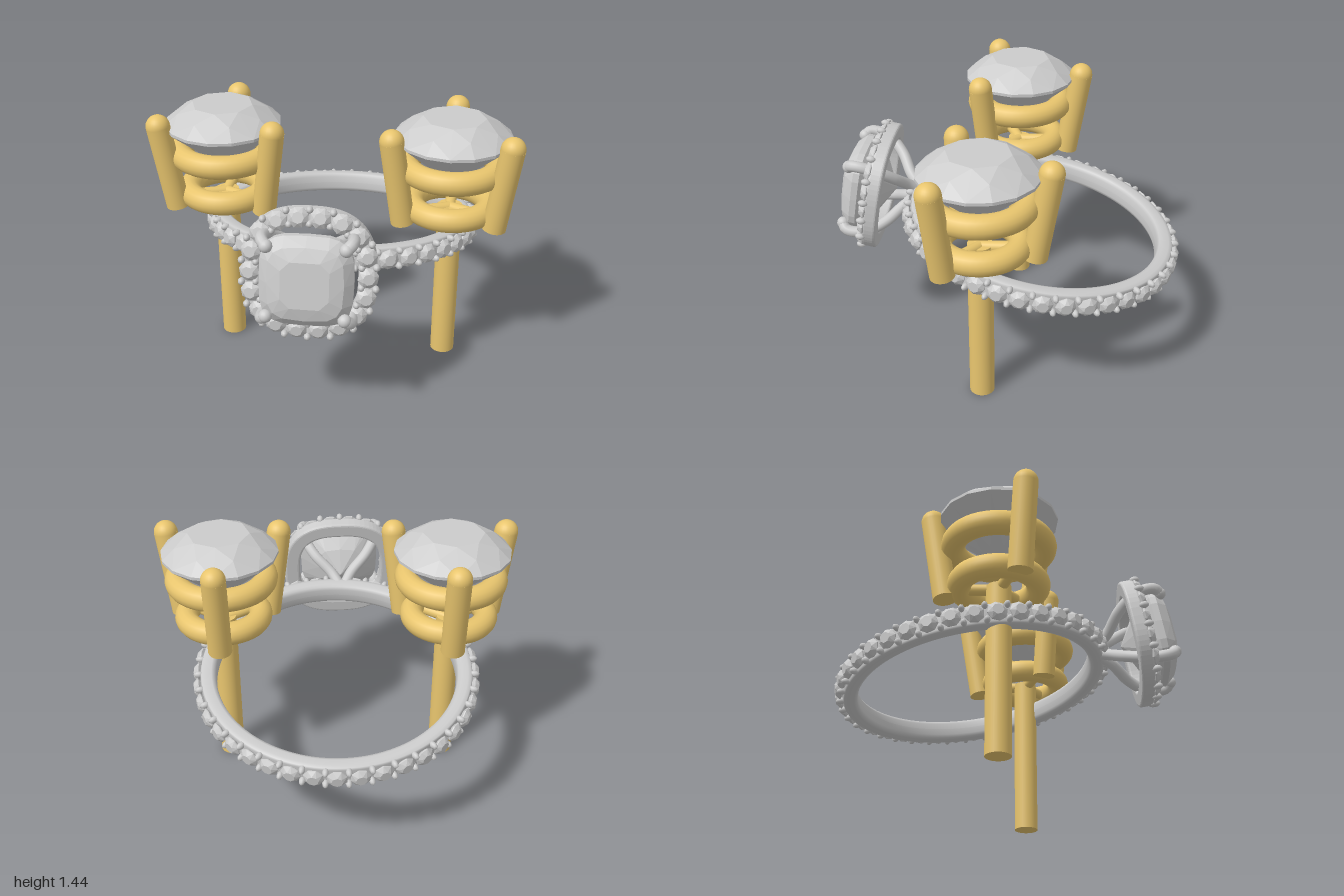
import * as THREE from 'three';
import { ConvexGeometry } from 'three/addons/geometries/ConvexGeometry.js';

const V = (x, y, z) => new THREE.Vector3(x, y, z);
const UP = V(0, 1, 0);
const silver = new THREE.MeshStandardMaterial({ color: 0xcccccc });
const facet = new THREE.MeshStandardMaterial({ color: 0xcccccc, flatShading: true });
const gold = new THREE.MeshStandardMaterial({ color: 0xe8c56e });

function add(parent, name, geometry, material, pos) {
  const m = new THREE.Mesh(geometry, material);
  m.name = name;
  if (pos) m.position.copy(pos);
  parent.add(m);
  return m;
}

// point on a rounded square: exponent 2 is a circle, larger is squarer
function cushion(a, half, exponent) {
  const f = (t) => Math.sign(t) * Math.pow(Math.abs(t), 2 / exponent) * half;
  return [f(Math.cos(a)), f(Math.sin(a))];
}

// faceted stone along +y; each ring is [radius, height, sides, turn in half steps]
function stone(rings, tip, exponent = 2) {
  const pts = [V(0, tip, 0)];
  for (const [r, y, n, turn] of rings) {
    for (let i = 0; i < n; i++) {
      const [x, z] = cushion(((i + turn / 2) / n) * Math.PI * 2, r, exponent);
      pts.push(V(x, y, z));
    }
  }
  return new ConvexGeometry(pts);
}

// cylinder between two points
function rod(parent, name, a, b, r, material) {
  const d = b.clone().sub(a);
  const m = add(parent, name, new THREE.CylinderGeometry(r, r, d.length(), 24), material,
    a.clone().add(b).multiplyScalar(0.5));
  m.quaternion.setFromUnitVectors(UP, d.normalize());
  return m;
}

const smallStone = stone([[0.03, 0.025, 8, 0], [0.054, 0.003, 8, 1], [0.054, -0.003, 8, 1]], -0.045);
const beadGeometry = new THREE.SphereGeometry(0.017, 8, 6);

function setStone(parent, pos, dir) {
  add(parent, 'accentStone', smallStone, facet, pos).quaternion.setFromUnitVectors(UP, dir.normalize());
}

// stud earring standing on its post
function stud(x) {
  const g = new THREE.Group();
  g.name = 'studEarring';
  g.position.set(x, 0, 0.043);
  add(g, 'studStone', stone([
    [0.165, 1.44, 8, 0], [0.245, 1.397, 8, 1], [0.315, 1.338, 16, 0],
    [0.315, 1.322, 16, 0], [0.09, 1.13, 8, 1]], 1.06), facet);
  add(g, 'post', new THREE.CylinderGeometry(0.067, 0.067, 0.93, 32), gold, V(0, 0.465, 0));
  for (const [y, R] of [[1.17, 0.242], [0.938, 0.205]]) {
    add(g, 'basketRing', new THREE.TorusGeometry(R, 0.064, 16, 48), gold, V(0, y, 0)).rotation.x = Math.PI / 2;
  }
  for (let i = 0; i < 3; i++) {
    const a = -Math.PI / 2 + (i * Math.PI * 2) / 3;
    const at = (r, y) => V(Math.cos(a) * r, y, Math.sin(a) * r);
    rod(g, 'prong', at(0.28, 0.88), at(0.356, 1.357), 0.065, gold);
    add(g, 'prongTip', new THREE.SphereGeometry(0.065, 24, 16), gold, at(0.356, 1.357));
    rod(g, 'basketBar', at(0, 0.915), at(0.2, 0.93), 0.03, gold);
  }
  return g;
}

// band with stones set all the way round
function band() {
  const g = new THREE.Group();
  g.name = 'band';
  const profile = [
    [0.655, 0], [0.656, -0.035], [0.664, -0.053], [0.68, -0.06], [0.715, -0.06], [0.734, -0.056],
    [0.74, -0.045], [0.74, 0.045], [0.734, 0.056], [0.715, 0.06], [0.68, 0.06], [0.664, 0.053],
    [0.656, 0.035], [0.655, 0]].map(([r, y]) => new THREE.Vector2(r, y));
  add(g, 'bandBody', new THREE.LatheGeometry(profile, 120), silver);
  const count = 40;
  for (let i = 0; i < count; i++) {
    const a = (i / count) * Math.PI * 2;
    const b = a + Math.PI / count;
    setStone(g, V(Math.sin(a) * 0.755, 0, Math.cos(a) * 0.755), V(Math.sin(a), 0, Math.cos(a)));
    for (const y of [-0.042, 0.042]) {
      const bead = add(g, 'bead', beadGeometry, silver, V(Math.sin(b) * 0.75, y, Math.cos(b) * 0.75));
      bead.rotation.y = b;
      bead.scale.set(1, 1.1, 1.7);
    }
  }
  return g;
}

function outline(Type, half, exponent) {
  const pts = [];
  for (let i = 0; i < 72; i++) pts.push(new THREE.Vector2(...cushion((i / 72) * Math.PI * 2, half, exponent)));
  return new Type(pts);
}

// halo head; local origin at the halo centre, facing +z
function head() {
  const g = new THREE.Group();
  g.name = 'head';

  // halo frame
  const shape = outline(THREE.Shape, 0.322, 2.6);
  shape.holes.push(outline(THREE.Path, 0.26, 2.8));
  add(g, 'haloFrame', new THREE.ExtrudeGeometry(shape, {
    depth: 0.05, bevelEnabled: true, bevelThickness: 0.014, bevelSize: 0.014, bevelSegments: 3,
  }), silver, V(0, 0, -0.04));

  // halo stones and their beads
  const path = [];
  for (let i = 0; i < 48; i++) path.push(V(...cushion((i / 48) * Math.PI * 2, 0.296, 2.6), 0.03));
  const curve = new THREE.CatmullRomCurve3(path, true);
  const count = 18;
  for (let i = 0; i < count; i++) {
    const out = (u) => {
      const t = curve.getTangentAt(u);
      return V(t.y, -t.x, 0);
    };
    const u = i / count;
    const v = u + 0.5 / count;
    setStone(g, curve.getPointAt(u), out(u).multiplyScalar(0.2).add(V(0, 0, 1)));
    for (const s of [-0.032, 0.04]) {
      const p = curve.getPointAt(v).addScaledVector(out(v), s);
      add(g, 'bead', beadGeometry, silver, p).scale.set(1.1, 1.1, 1.6);
    }
  }

  // centre stone
  add(g, 'centreStone', stone([
    [0.125, 0.192, 8, 1], [0.19, 0.17, 16, 0], [0.234, 0.12, 24, 0],
    [0.234, 0.085, 24, 0], [0.13, -0.02, 12, 0]], -0.1, 3.6), facet).rotation.x = Math.PI / 2;

  // four claws rising from the band, through the halo and over the stone
  for (const sx of [-1, 1]) {
    for (const sy of [-1, 1]) {
      const pts = [[0.015, 0.025, -0.225], [0.06, 0.07, -0.16], [0.15, 0.14, -0.085], [0.205, 0.19, 0],
        [0.224, 0.208, 0.08], [0.218, 0.203, 0.13], [0.195, 0.182, 0.152]]
        .map(([x, y, z]) => V(x * sx, y * sy, z));
      add(g, 'claw', new THREE.TubeGeometry(new THREE.CatmullRomCurve3(pts), 32, 0.031, 12), silver);
      add(g, 'clawTip', new THREE.SphereGeometry(0.034, 16, 12), silver, pts[6]);
    }
  }
  return g;
}

export function createModel() {
  const model = new THREE.Group();
  model.name = 'jewellerySet';
  for (const s of [-1, 1]) model.add(stud(s * 0.622));

  // tilted ring
  const ring = new THREE.Group();
  ring.name = 'ring';
  ring.position.set(0, 0.7, -0.18);
  ring.rotation.x = -0.17;
  const top = head();
  top.position.set(-0.024, 0, 0.943);
  top.rotation.y = 0.057;
  ring.add(band(), top);
  model.add(ring);
  return model;
}
